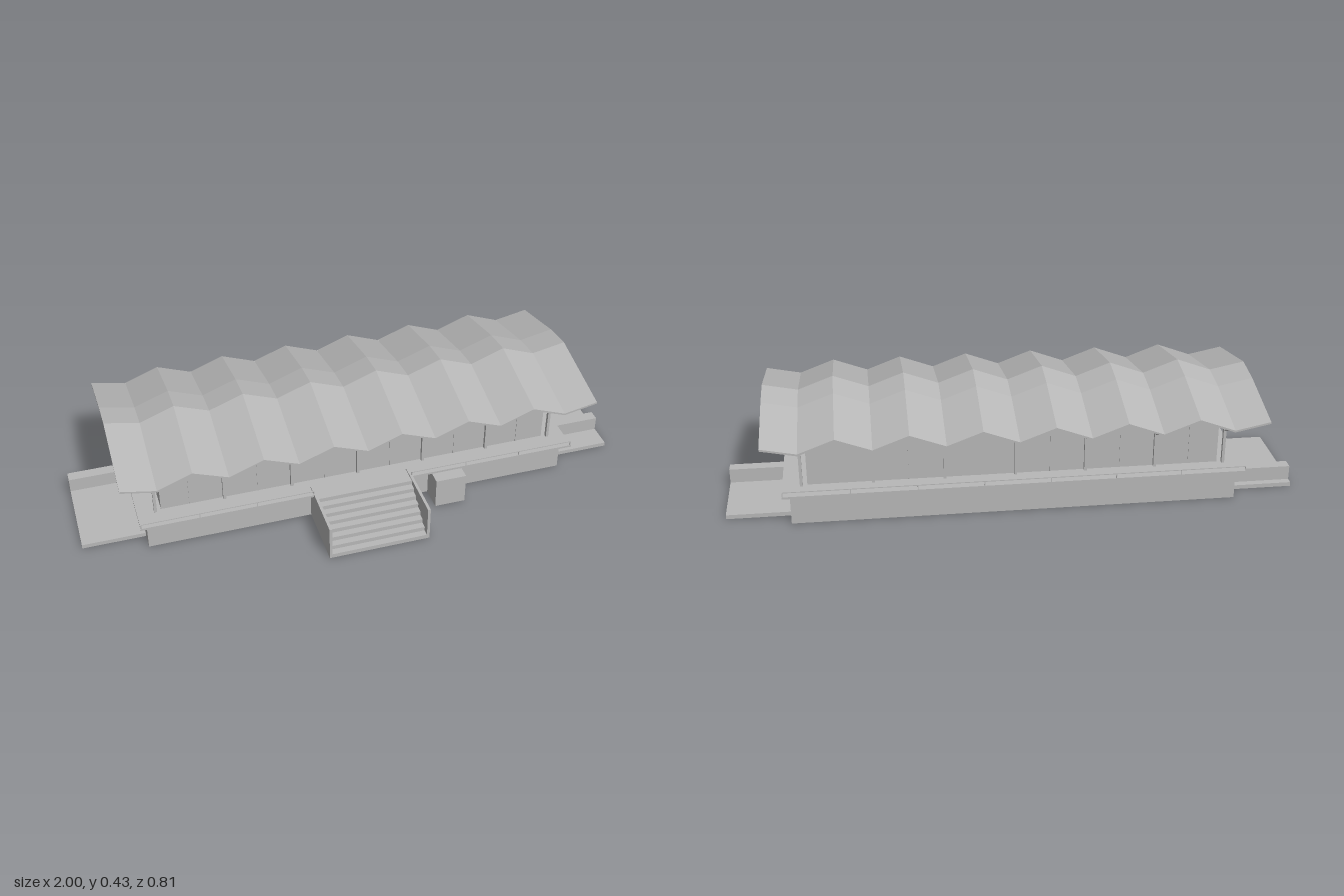
import * as THREE from 'three';

const concrete = new THREE.MeshStandardMaterial({ color: 0xb8b8b8 });
concrete.name = 'light grey concrete';

export function createModel() {
  const model = new THREE.Group();
  model.name = 'pavilion';

  const add = (name, geometry) => {
    const mesh = new THREE.Mesh(geometry, concrete);
    mesh.name = name;
    model.add(mesh);
    return mesh;
  };
  // box given by its min and max on each axis
  const box = (name, x0, x1, y0, y1, z0, z1) => {
    const g = new THREE.BoxGeometry(x1 - x0, y1 - y0, z1 - z0);
    g.translate((x0 + x1) / 2, (y0 + y1) / 2, (z0 + z1) / 2);
    return add(name, g);
  };
  // thin round bar between two points
  const bar = (name, from, to, radius) => {
    const a = new THREE.Vector3(...from), b = new THREE.Vector3(...to);
    const d = b.clone().sub(a);
    const mesh = add(name, new THREE.CylinderGeometry(radius, radius, d.length(), 6));
    mesh.position.copy(a).add(b).multiplyScalar(0.5);
    mesh.quaternion.setFromUnitVectors(new THREE.Vector3(0, 1, 0), d.normalize());
  };

  // base, deck and hall
  box('base', -0.775, 0.775, 0, 0.117, -0.32, 0.165);
  box('deck', -0.8, 0.8, 0.117, 0.125, -0.36, 0.208);
  box('hall', -0.715, 0.715, 0.125, 0.3, -0.278, 0.124);
  box('frontBlock', 0.257, 0.37, 0, 0.115, 0.165, 0.252);

  // low terraces at both ends, each with a wall
  box('leftTerrace', 0.775, 1, 0, 0.015, -0.263, 0.107);
  box('leftTerraceWall', 0.775, 1, 0.015, 0.067, -0.024, 0.017);
  box('rightTerrace', -1, -0.775, 0, 0.015, -0.263, 0.107);
  box('rightTerraceWall', -1, -0.775, 0.015, 0.067, -0.238, -0.197);

  // front stairs: folded slab between two side walls
  const steps = 8, rise = 0.125 / steps, run = 0.197 / steps;
  const profile = new THREE.Shape();
  profile.moveTo(0.405, 0);
  for (let i = 0; i < steps; i++) {
    profile.lineTo(0.405 - i * run, (i + 1) * rise);
    profile.lineTo(0.405 - (i + 1) * run, (i + 1) * rise);
  }
  profile.lineTo(0.208, 0.105);
  profile.lineTo(0.375, 0);
  const stairs = new THREE.ExtrudeGeometry(profile, { depth: 0.35, bevelEnabled: false });
  stairs.rotateY(-Math.PI / 2);
  stairs.translate(0.17, 0, 0);
  add('stairs', stairs);
  for (const x of [-0.186, 0.17]) box('stairWall', x, x + 0.01, 0, 0.13, 0.165, 0.405);

  // wall mullions
  for (let i = -5; i <= 5; i++) {
    const x = i * 0.1225;
    box('frontMullion', x - 0.002, x + 0.002, 0.125, 0.3, 0.124, 0.126);
    box('backMullion', x - 0.002, x + 0.002, 0.125, 0.3, -0.28, -0.278);
  }

  // columns with an eave strut and two spread struts, front and back
  const sides = [
    { z: 0.13, eave: [0.311, 0.247], spread: [0.345, 0.18] },
    { z: -0.284, eave: [0.308, -0.4], spread: [0.34, -0.33] }
  ];
  for (const { z, eave, spread } of sides) {
    for (let i = -3; i <= 3; i++) {
      const x = i * 0.245;
      box('column', x - 0.005, x + 0.005, 0.125, 0.322, z - 0.006, z + 0.006);
      bar('eaveStrut', [x, 0.248, z], [x, eave[0], eave[1]], 0.003);
      for (const s of [-1, 1]) {
        bar('spreadStrut', [x, 0.275, z], [x + s * 0.11, spread[0], spread[1]], 0.003);
      }
    }
  }

  // railings, open in front of the stairs
  const railing = (x0, x1, z, count) => {
    box('rail', x0, x1, 0.14, 0.143, z - 0.0015, z + 0.0015);
    for (let i = 0; i <= count; i++) {
      const x = x0 + (x1 - x0) * i / count;
      box('railPost', x - 0.0015, x + 0.0015, 0.125, 0.141, z - 0.0015, z + 0.0015);
    }
  };
  railing(-0.797, -0.186, 0.206, 3);
  railing(0.18, 0.797, 0.206, 3);
  railing(-0.797, 0.797, -0.358, 7);

  add('foldedRoof', foldedRoof());
  return model;
}

// zigzag sheet along x, bent over three slopes along z
function foldedRoof() {
  const stations = [[0.25, 0.36], [-0.05, 0.425], [-0.165, 0.41], [-0.405, 0.352]];
  const folds = 14, pitch = 0.1225, thickness = 0.007;
  const drop = i => (i === 0 || i === folds) ? 0.021 : (i % 2 ? 0.046 : 0);
  const top = (i, k) => [(i - folds / 2) * pitch, stations[k][1] - drop(i), stations[k][0]];
  const under = (i, k) => {
    const p = top(i, k);
    return [p[0], p[1] - thickness, p[2]];
  };
  const pos = [];
  const quad = (a, b, c, d) => pos.push(...a, ...b, ...c, ...a, ...c, ...d);
  const last = stations.length - 1;
  for (let k = 0; k < last; k++) {
    for (let i = 0; i < folds; i++) {
      quad(top(i, k), top(i + 1, k), top(i + 1, k + 1), top(i, k + 1));
      quad(under(i + 1, k), under(i, k), under(i, k + 1), under(i + 1, k + 1));
    }
    quad(under(0, k), top(0, k), top(0, k + 1), under(0, k + 1));
    quad(top(folds, k), under(folds, k), under(folds, k + 1), top(folds, k + 1));
  }
  // front and back edges
  for (let i = 0; i < folds; i++) {
    quad(top(i, 0), under(i, 0), under(i + 1, 0), top(i + 1, 0));
    quad(top(i + 1, last), under(i + 1, last), under(i, last), top(i, last));
  }
  const g = new THREE.BufferGeometry();
  g.setAttribute('position', new THREE.Float32BufferAttribute(pos, 3));
  g.computeVertexNormals();
  return g;
}
